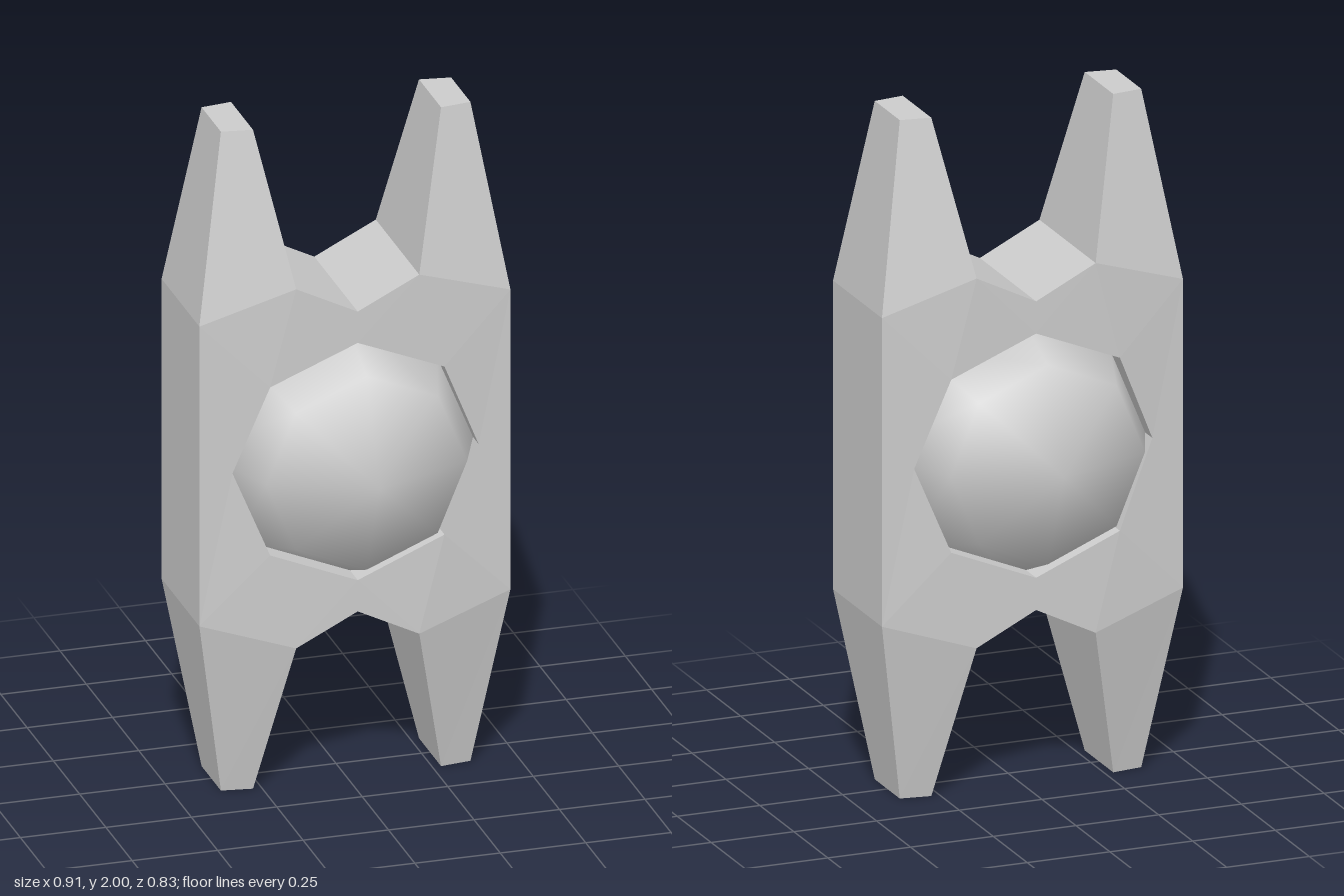
import * as THREE from 'three';

const material = new THREE.MeshStandardMaterial({ color: 0xcccccc });

// One eighth of the H-shaped frame, relative to its centre; mirrored on all axes.
const side = [0.455, 0, 0.18];
const shoulder = [0.455, 0.455, 0.18];
const tipOuter = [0.365, 1, 0.092];
const tipInner = [0.275, 1, 0.105];
const crotch = [0.18, 0.545, 0.207];
const notch = [0, 0.455, 0.207];
const holeSide = [0.36, 0, 0.186];
const holeCorner = [0.255, 0.255, 0.203];
const holeTop = [0, 0.36, 0.207];

function octantFaces() {
  const faces = [
    [tipOuter, tipInner, crotch, shoulder],
    [shoulder, crotch, holeCorner],
    [crotch, notch, holeTop],
    [crotch, holeTop, holeCorner],
    [shoulder, holeCorner, holeSide],
    [shoulder, holeSide, side],
  ];
  // Walls run from the face edge back to the middle plane
  const mid = ([x, y]) => [x, y, 0];
  const addWalls = (path) => {
    for (let i = 0; i < path.length - 1; i++) {
      const p = path[i], q = path[i + 1];
      faces.push([p, mid(p), mid(q), q]);
    }
  };
  addWalls([side, shoulder, tipOuter, tipInner, crotch, notch]);
  addWalls([holeTop, holeCorner, holeSide]);
  return faces;
}

function frameGeometry() {
  const positions = [];
  for (const sx of [1, -1]) for (const sy of [1, -1]) for (const sz of [1, -1]) {
    for (const face of octantFaces()) {
      const corners = face.map(([x, y, z]) => [x * sx, y * sy, z * sz]);
      if (sx * sy * sz < 0) corners.reverse();
      for (let i = 1; i < corners.length - 1; i++) {
        positions.push(...corners[0], ...corners[i], ...corners[i + 1]);
      }
    }
  }
  const geometry = new THREE.BufferGeometry();
  geometry.setAttribute('position', new THREE.Float32BufferAttribute(positions, 3));
  geometry.computeVertexNormals();
  return geometry;
}

export function createModel() {
  const model = new THREE.Group();
  model.name = 'model';

  // Four-pronged frame with an octagonal opening
  const frame = new THREE.Mesh(frameGeometry(), material);
  frame.name = 'frame';
  frame.position.y = 1;

  // Low-poly ball in the opening, poles facing front and back
  const ball = new THREE.Mesh(new THREE.SphereGeometry(0.415, 8, 4).rotateX(Math.PI / 2), material);
  ball.name = 'centreBall';
  ball.position.y = 1;

  model.add(frame, ball);
  return model;
}
